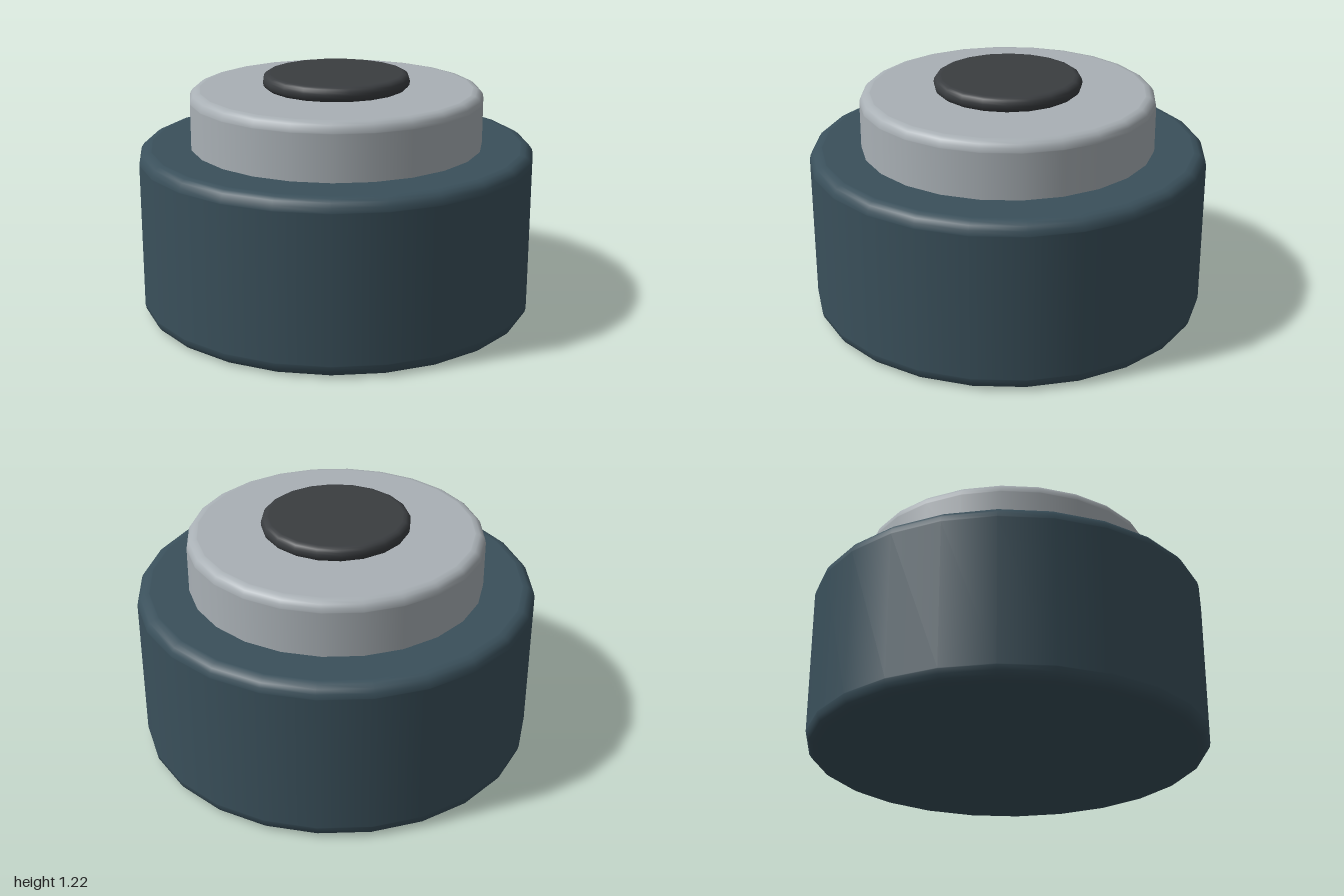
import * as THREE from 'three';

// Disc with rounded rims, turned from a profile running bottom centre to top centre
function roundedDisc(name, radius, y0, y1, bevel, sides, color) {
  const steps = 4, e = 0.004;
  const pts = [new THREE.Vector2(0, y0), new THREE.Vector2(radius - bevel - e, y0)];
  const arc = (cy, start) => {
    for (let i = 0; i <= steps; i++) {
      const a = start + (i / steps) * Math.PI / 2;
      pts.push(new THREE.Vector2(radius - bevel + bevel * Math.cos(a), cy + bevel * Math.sin(a)));
    }
  };
  arc(y0 + bevel, -Math.PI / 2);
  // thin support rings keep the wall and caps shaded flat
  if (y1 - y0 > 2 * bevel + 4 * e) {
    pts.push(new THREE.Vector2(radius, y0 + bevel + e), new THREE.Vector2(radius, y1 - bevel - e));
  }
  arc(y1 - bevel, 0);
  pts.push(new THREE.Vector2(radius - bevel - e, y1), new THREE.Vector2(0, y1));
  const mesh = new THREE.Mesh(
    new THREE.LatheGeometry(pts, sides),
    new THREE.MeshStandardMaterial({ color })
  );
  mesh.name = name;
  return mesh;
}

export function createModel() {
  const group = new THREE.Group();
  group.name = 'roundContainer';
  group.add(
    roundedDisc('base', 1, 0, 0.857, 0.06, 24, 0x3a505b),
    roundedDisc('cap', 0.74, 0.75, 1.14, 0.05, 24, 0xa9b0b5),
    roundedDisc('button', 0.37, 1.14, 1.215, 0.033, 20, 0x3a3d40)
  );
  return group;
}
